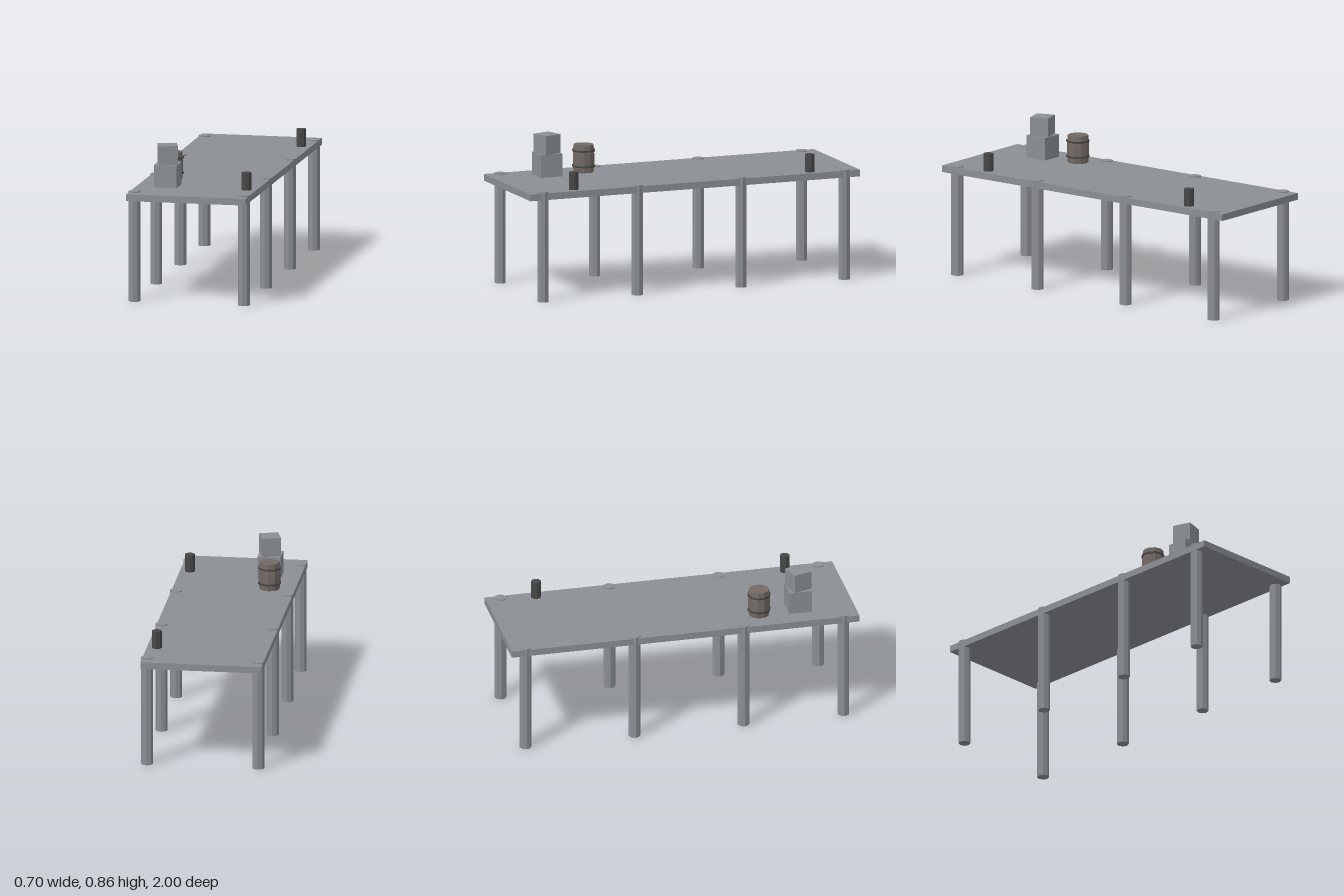
import * as THREE from 'three';

const paint = (name, color) => {
  const m = new THREE.MeshStandardMaterial({ color });
  m.name = name;
  return m;
};

export function createModel() {
  const group = new THREE.Group();
  const stone = paint('grey planks', 0x8b8f94);
  const wood = paint('barrel wood', 0x746a65);
  const iron = paint('dark iron', 0x484848);
  const deckTop = 0.621;

  const add = (name, geometry, material, x, y, z) => {
    // separate the faces so that every facet stays flat
    const flat = geometry.toNonIndexed();
    flat.computeVertexNormals();
    const mesh = new THREE.Mesh(flat, material);
    mesh.name = name;
    mesh.position.set(x, y, z);
    group.add(mesh);
    return mesh;
  };

  // Deck slab
  add('deck', new THREE.BoxGeometry(0.685, 0.038, 2), stone, -0.002, 0.602, 0);

  // Four pairs of support posts, poking just above the deck
  for (const x of [-0.316, 0.313]) {
    for (const z of [-0.915, -0.288, 0.34, 0.913]) {
      add('post', new THREE.CylinderGeometry(0.034, 0.034, 0.627, 8), stone, x, 0.3135, z);
    }
  }

  // Mooring bollards along the left edge
  for (const z of [-0.717, 0.714]) {
    add('bollard', new THREE.CylinderGeometry(0.028, 0.028, 0.1, 8), iron, 0.284, deckTop + 0.05, z);
  }

  // Two stacked crates, the upper one turned
  add('lowerCrate', new THREE.BoxGeometry(0.13, 0.129, 0.13), stone, -0.174, deckTop + 0.0645, 0.685);
  add('upperCrate', new THREE.BoxGeometry(0.107, 0.107, 0.107), stone, -0.173, 0.8035, 0.687).rotation.y = 0.3;

  // Barrel with a slight bulge
  const profile = [[0, 0], [0.058, 0], [0.062, 0.05], [0.062, 0.106], [0.058, 0.156], [0, 0.156]]
    .map(([r, y]) => new THREE.Vector2(r, y));
  add('barrel', new THREE.LatheGeometry(profile, 10), wood, -0.2, deckTop, 0.455);

  // Barrel hoops
  for (const y of [0.656, 0.744]) {
    add('barrelHoop', new THREE.CylinderGeometry(0.066, 0.066, 0.01, 10), iron, -0.2, y, 0.455);
  }

  return group;
}
